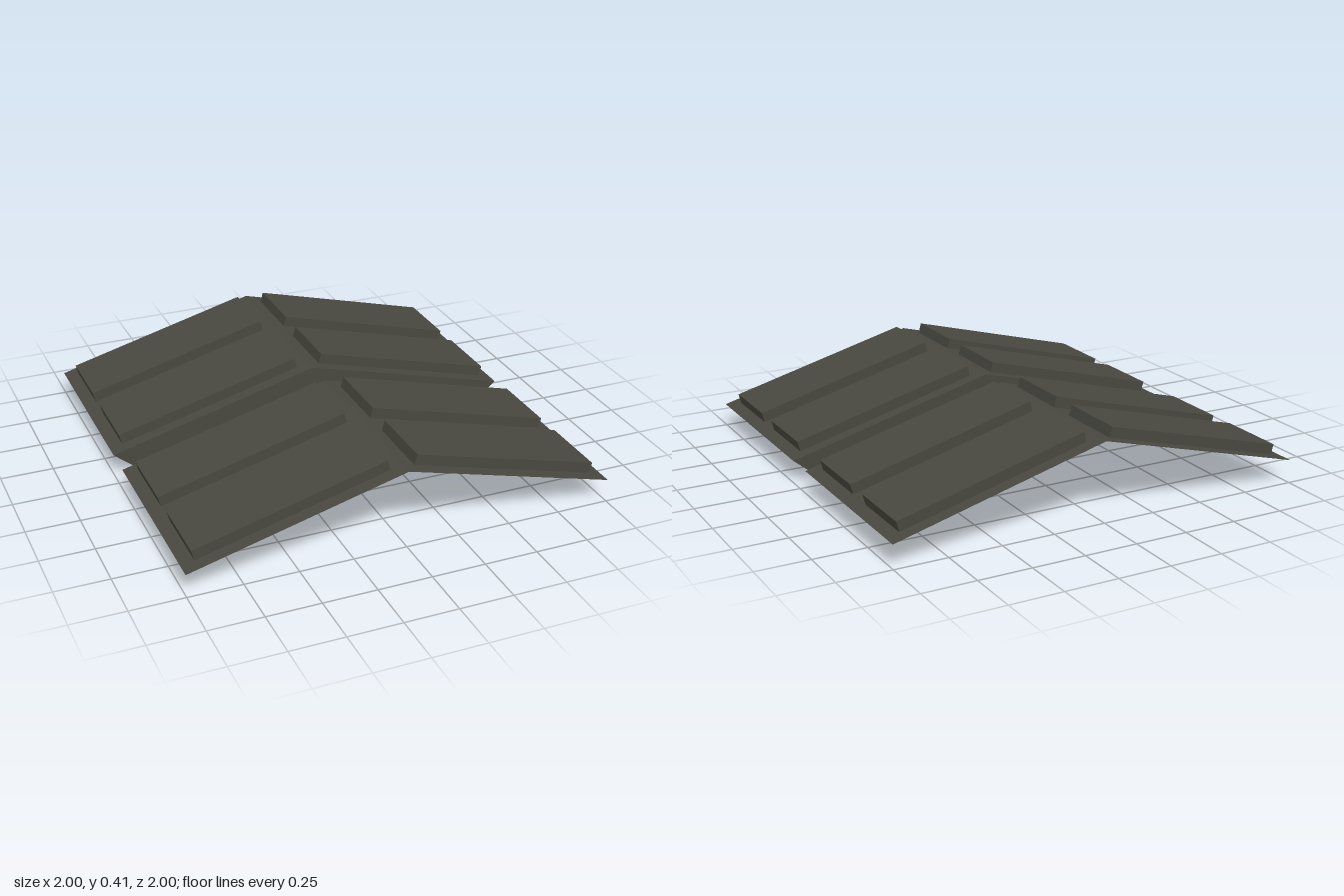
import * as THREE from 'three';

const RIDGE = 0.375, EAVE = 0.11;         // heights of the sheet at x = 0 and x = 1
const FLOOR_X = 0.865, FLOOR_TOP = 0.2;   // gutter floor half width and ridge height
const GUTTER = 0.073;                     // gutter half depth in z
const PANEL_S = [0.059, 0.972];           // panel extent along the slope
const PANEL_H = 0.05;
const PANEL_Z = [[0.135, 0.472], [0.6, 0.933]];

function add(parent, name, geometry, material) {
  const mesh = new THREE.Mesh(geometry, material);
  mesh.name = name;
  parent.add(mesh);
  return mesh;
}

function trace(path, s0, s1, z0, z1) {
  path.moveTo(s0, z0);
  path.lineTo(s1, z0);
  path.lineTo(s1, z1);
  path.lineTo(s0, z1);
  path.closePath();
  return path;
}

// Box shell without its underside, standing on y = 0
function openBox(w, h, d) {
  const geo = new THREE.BoxGeometry(w, h, d);
  const index = Array.from(geo.index.array);
  index.splice(18, 6);
  geo.setIndex(index);
  geo.clearGroups();
  return geo.translate(0, h / 2, 0);
}

export function createModel() {
  const model = new THREE.Group();
  model.name = 'ridgedRoof';
  const metal = new THREE.MeshStandardMaterial({ color: 0x484840, side: THREE.DoubleSide });
  metal.name = 'dark olive grey';

  const length = Math.hypot(1, RIDGE - EAVE);
  const angle = Math.atan2(RIDGE - EAVE, 1);

  for (const side of [1, -1]) {
    const half = new THREE.Group();
    half.name = side > 0 ? 'leftHalf' : 'rightHalf';
    half.rotation.y = side > 0 ? 0 : Math.PI;
    model.add(half);

    // Sloping sheet with its raised panels, hollow underneath
    const slope = new THREE.Group();
    slope.name = 'slope';
    slope.position.y = RIDGE;
    slope.rotation.z = -angle;
    half.add(slope);

    for (const end of [1, -1]) {
      const shape = trace(new THREE.Shape(), 0, length, end * GUTTER, end);
      for (const [z0, z1] of PANEL_Z) {
        shape.holes.push(trace(new THREE.Path(), ...PANEL_S, end * z0, end * z1));
        const panel = add(slope, 'raisedPanel',
          openBox(PANEL_S[1] - PANEL_S[0], PANEL_H, z1 - z0), metal);
        panel.position.set((PANEL_S[0] + PANEL_S[1]) / 2, 0, end * (z0 + z1) / 2);
      }
      const sheet = new THREE.ShapeGeometry(shape).rotateX(-Math.PI / 2);
      // Shape y becomes -z, so this sheet covers the opposite end of the roof
      add(slope, 'sheet', sheet, metal);
    }

    // Gutter floor
    const floor = new THREE.PlaneGeometry(Math.hypot(FLOOR_X, FLOOR_TOP), 2 * GUTTER);
    floor.rotateX(-Math.PI / 2).rotateZ(-Math.atan2(FLOOR_TOP, FLOOR_X));
    floor.translate(FLOOR_X / 2, FLOOR_TOP / 2, 0);
    add(half, 'gutterFloor', floor, metal);
  }

  // Gutter side walls, facing outwards
  const outline = [[0, RIDGE], [-1, EAVE], [-FLOOR_X, 0], [0, FLOOR_TOP], [FLOOR_X, 0], [1, EAVE]];
  const wallShape = new THREE.Shape(outline.map(([x, y]) => new THREE.Vector2(x, y)));
  for (const end of [1, -1]) {
    const wall = add(model, end > 0 ? 'frontGutterWall' : 'backGutterWall',
      new THREE.ShapeGeometry(wallShape), metal);
    wall.position.z = end * GUTTER;
    wall.rotation.y = end > 0 ? 0 : Math.PI;
  }
  return model;
}
